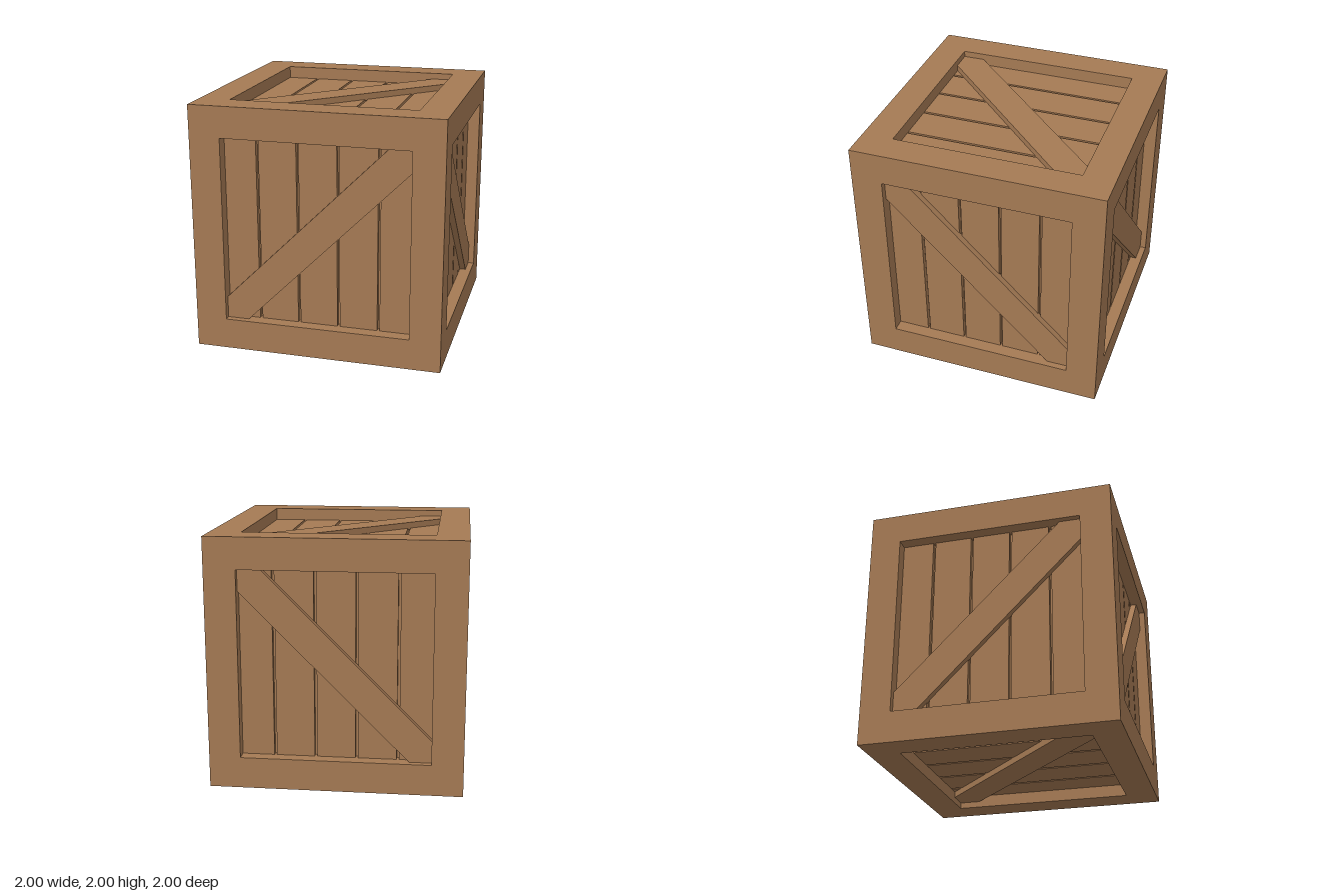
import * as THREE from 'three';

const wood = new THREE.MeshStandardMaterial({ color: 0xa57a54 });
wood.name = 'wood';

const OPEN = 0.75;   // half width of each framed opening
const BEAM = 0.25;   // square section of the frame beams
const PLANK_FACE = 0.9;
const BRACE_FACE = 0.95;

function box(name, w, h, d, x, y, z) {
  const mesh = new THREE.Mesh(new THREE.BoxGeometry(w, h, d), wood);
  mesh.name = name;
  mesh.position.set(x, y, z);
  return mesh;
}

// Diagonal board, cut to fit the corners of the opening
function makeBrace() {
  const c = 0.574;
  const shape = new THREE.Shape([
    [-OPEN, -OPEN], [-c, -OPEN], [OPEN, c], [OPEN, OPEN], [c, OPEN], [-OPEN, -c],
  ].map(([x, y]) => new THREE.Vector2(x, y)));
  const geometry = new THREE.ExtrudeGeometry(shape, { depth: 0.06, bevelEnabled: false });
  geometry.translate(0, 0, BRACE_FACE - 0.06);
  const mesh = new THREE.Mesh(geometry, wood);
  mesh.name = 'diagonalBrace';
  return mesh;
}

// One recessed panel facing +z: five planks with narrow gaps, plus the brace
function makePanel(name, flip) {
  const panel = new THREE.Group();
  panel.name = name;
  const pitch = 0.323, gap = 0.02, thick = 0.05;
  for (let i = -2; i <= 2; i++) {
    panel.add(box('plank', pitch - gap, 1.6, thick, i * pitch, 0, PLANK_FACE - thick / 2));
  }
  const brace = makeBrace();
  if (flip) brace.rotation.z = Math.PI / 2;
  panel.add(brace);
  return panel;
}

export function createModel() {
  const crate = new THREE.Group();
  crate.name = 'crate';
  const body = new THREE.Group();
  body.name = 'body';
  body.position.y = 1;
  crate.add(body);

  // Frame: four posts with rails between them
  const e = 1 - BEAM / 2;
  for (const a of [-1, 1]) {
    for (const b of [-1, 1]) {
      body.add(box('cornerPost', BEAM, 2, BEAM, a * e, 0, b * e));
      body.add(box('crossRail', 2 * OPEN, BEAM, BEAM, 0, a * e, b * e));
      body.add(box('sideRail', BEAM, BEAM, 2 * OPEN, a * e, b * e, 0));
    }
  }

  // Inner box closing the gaps between planks
  body.add(box('innerBox', 1.72, 1.72, 1.72, 0, 0, 0));

  // Panels: name, rotation x, rotation y, mirrored brace
  const q = Math.PI / 2;
  for (const [name, rx, ry, flip] of [
    ['frontPanel', 0, 0, false],
    ['backPanel', 0, Math.PI, true],
    ['leftPanel', 0, q, true],
    ['rightPanel', 0, -q, false],
    ['topPanel', -q, 0, false],
    ['bottomPanel', q, 0, true],
  ]) {
    const panel = makePanel(name, flip);
    panel.rotation.set(rx, ry, 0);
    body.add(panel);
  }
  return crate;
}
